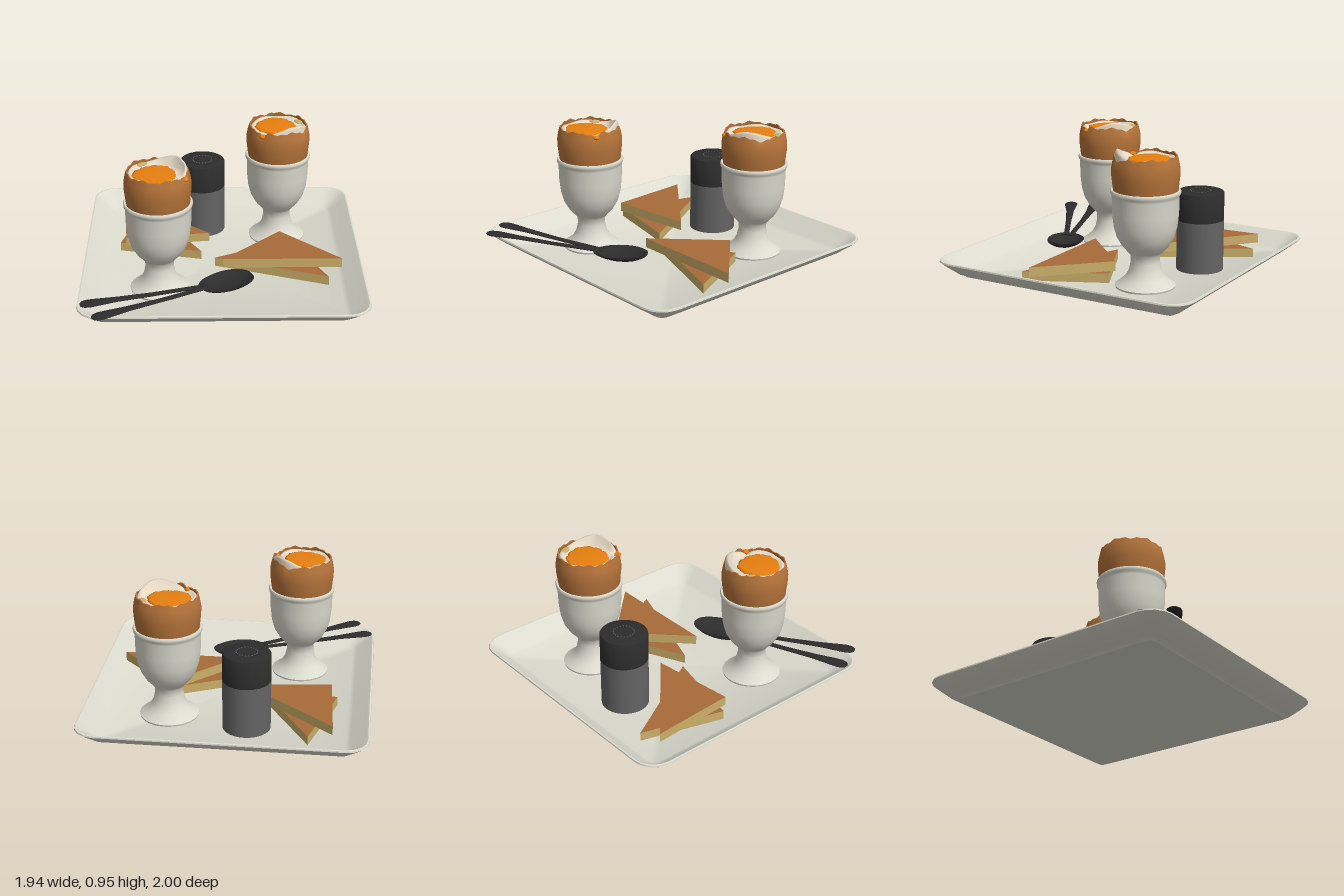
import * as THREE from 'three';
import { toCreasedNormals } from 'three/addons/utils/BufferGeometryUtils.js';

const mat = (name, color, side = THREE.FrontSide) => {
  const m = new THREE.MeshStandardMaterial({ color, side });
  m.name = name;
  return m;
};
const M = {
  china: mat('china', 0xdcdbcf),
  shell: mat('eggshell brown', 0xb4733a, THREE.DoubleSide),
  white: mat('egg white', 0xe6dac6, THREE.DoubleSide),
  yolk: mat('yolk orange', 0xe88010),
  toast: mat('toast brown', 0xa86c38),
  crumb: mat('crumb tan', 0xccb06a),
  grey: mat('shaker grey', 0x646464),
  black: mat('black', 0x2c2c2c),
};

function mesh(name, geometry, material, parent) {
  const m = new THREE.Mesh(geometry, material);
  m.name = name;
  parent.add(m);
  return m;
}

// Skin over closed rings with equal point counts
function loft(rings) {
  const n = rings[0].length, pos = [], idx = [];
  rings.forEach(r => r.forEach(p => pos.push(p[0], p[1], p[2])));
  for (let i = 0; i < rings.length - 1; i++) {
    for (let j = 0; j < n; j++) {
      const a = i * n + j, b = i * n + (j + 1) % n;
      idx.push(a, a + n, b, b, a + n, b + n);
    }
  }
  const g = new THREE.BufferGeometry();
  g.setAttribute('position', new THREE.Float32BufferAttribute(pos, 3));
  g.setIndex(idx);
  g.computeVertexNormals();
  return g;
}

// Ring around y; r and y are functions of the angle
function ring(r, y, n = 72) {
  return Array.from({ length: n }, (_, i) => {
    const a = i / n * Math.PI * 2;
    return [Math.cos(a) * r(a), y(a), Math.sin(a) * r(a)];
  });
}

function roundedSquare(half, radius, y) {
  const pts = [];
  for (let c = 0; c < 4; c++) {
    const mid = (c + 0.5) * Math.PI / 2, d = (half - radius) * Math.SQRT2;
    for (let k = 0; k <= 4; k++) {
      const a = c * Math.PI / 2 + k * Math.PI / 8;
      pts.push([d * Math.cos(mid) + radius * Math.cos(a), y, d * Math.sin(mid) + radius * Math.sin(a)]);
    }
  }
  return pts;
}

function buildTray(root) {
  const sections = [ // half width, corner radius, height
    [0, 0, 0], [0.81, 0.03, 0], [0.82, 0.035, 0.012], [0.85, 0.06, 0.022], [0.95, 0.14, 0.1],
    [0.97, 0.155, 0.118], [0.968, 0.155, 0.128], [0.958, 0.15, 0.13], [0.945, 0.14, 0.122],
    [0.845, 0.07, 0.036], [0.815, 0.05, 0.02], [0, 0, 0.02],
  ];
  const g = loft(sections.map(s => roundedSquare(...s)));
  mesh('tray', toCreasedNormals(g, 0.6), M.china, root).position.z = -0.03;
}

// Small rise centred on an angle
const bump = (a, centre, width) => {
  const d = Math.atan2(Math.sin(a - centre), Math.cos(a - centre));
  return Math.exp(-(d * d) / (width * width));
};
const HUMP = 0.98, NOTCH = 2.18, CRUMB = -0.5;

function buildEgg(x, z, turn, root) {
  const g = new THREE.Group();
  g.name = 'eggInCup';
  g.position.set(x, 0, z);
  g.rotation.y = turn;
  root.add(g);

  // Footed cup
  const outline = [
    [0, 0.02], [0.2, 0.02], [0.203, 0.032], [0.185, 0.045], [0.14, 0.08], [0.11, 0.13], [0.097, 0.19],
    [0.098, 0.235], [0.12, 0.262], [0.155, 0.3], [0.19, 0.36], [0.21, 0.43], [0.22, 0.52], [0.222, 0.63],
    [0.224, 0.645], [0.232, 0.655], [0.233, 0.672], [0.228, 0.68], [0.218, 0.68], [0.205, 0.62],
  ].map(p => new THREE.Vector2(...p));
  mesh('eggCup', toCreasedNormals(new THREE.LatheGeometry(outline, 48), 0.7), M.china, g);

  // Cracked shell with a jagged edge
  const rim = a => 0.905 + 0.006 * Math.sin(7 * a) + 0.005 * Math.sin(17 * a + 1)
    - 0.035 * bump(a, NOTCH, 0.1) - 0.02 * bump(a, HUMP - 0.5, 0.3);
  const k = v => () => v;
  mesh('shell', toCreasedNormals(loft([
    ring(k(0.203), k(0.62)), ring(k(0.217), k(0.7)), ring(k(0.225), k(0.77)), ring(k(0.226), k(0.82)),
    ring(k(0.218), k(0.865)), ring(k(0.207), rim), ring(k(0.198), rim), ring(k(0.204), k(0.84)),
  ]), 0.8), M.shell, g);

  // White with one raised flap
  const crest = a => 0.893 + 0.058 * bump(a, HUMP, 0.6) + 0.005 * Math.sin(5 * a)
    - 0.02 * bump(a, NOTCH, 0.14);
  const inner = a => 0.158 + 0.007 * Math.sin(4 * a + 2);
  mesh('eggWhite', loft([
    ring(k(0.204), k(0.84)), ring(k(0.2), a => crest(a) - 0.015), ring(k(0.188), crest),
    ring(a => 0.177 + 0.004 * Math.sin(9 * a), a => crest(a) - 0.004),
    ring(inner, k(0.88)), ring(k(0.13), k(0.874)), ring(k(0), k(0.872)),
  ]), M.white, g);

  // Runny yolk with an uneven edge
  const edge = s => a => s * (0.143 + 0.006 * Math.sin(3 * a) + 0.004 * Math.sin(11 * a) + 0.003 * Math.sin(19 * a));
  const yolk = mesh('yolk', loft([
    ring(edge(1), k(0.868)), ring(edge(1), k(0.884)), ring(edge(0.9), k(0.888)),
    ring(edge(0.5), k(0.892)), ring(k(0), k(0.893)),
  ]), M.yolk, g);
  yolk.position.set(-0.018, 0, -0.022);

  const drip = mesh('yolkDrip', new THREE.SphereGeometry(0.024, 16, 10), M.yolk, g);
  drip.position.set(Math.cos(NOTCH) * 0.203, 0.876, Math.sin(NOTCH) * 0.203);
  drip.scale.y = 0.7;
  const crumb = mesh('crumbPatch', new THREE.SphereGeometry(0.04, 16, 10), M.crumb, g);
  crumb.position.set(Math.cos(CRUMB) * 0.17, 0.889, Math.sin(CRUMB) * 0.17);
  crumb.scale.set(0.65, 0.2, 1);
  crumb.rotation.y = -CRUMB;
}

function buildToast(name, corners, y, thick, root) {
  const shape = new THREE.Shape(corners.map(([x, z]) => new THREE.Vector2(x, -z)));
  const g = new THREE.ExtrudeGeometry(shape, { depth: thick, bevelEnabled: false });
  g.rotateX(-Math.PI / 2);
  mesh(name, g, [M.toast, M.crumb], root).position.y = y;
}

function buildShaker(root) {
  const g = new THREE.Group();
  g.name = 'shaker';
  g.position.set(-0.14, 0, -0.545);
  root.add(g);
  const body = new THREE.CylinderGeometry(0.163, 0.163, 0.355, 48);
  mesh('shakerBody', body, M.grey, g).position.y = 0.1975;
  const lid = [[0, 0.375], [0.163, 0.375], [0.163, 0.562], [0.158, 0.57], [0.148, 0.574], [0, 0.576]]
    .map(p => new THREE.Vector2(...p));
  mesh('shakerLid', toCreasedNormals(new THREE.LatheGeometry(lid, 48), 0.6), M.black, g);
  for (let i = 0; i < 20; i++) { // ring of pour holes
    const a = i / 20 * Math.PI * 2;
    const hole = mesh('pourHole', new THREE.CylinderGeometry(0.0045, 0.0045, 0.004, 8), M.grey, g);
    hole.position.set(Math.cos(a) * 0.07, 0.5755, Math.sin(a) * 0.07);
  }
}

function buildSpoon(x, z, turn, length, lift, root) {
  const g = new THREE.Group();
  g.name = 'spoon';
  g.position.set(x, lift, z);
  g.rotation.y = turn;
  root.add(g);
  const stations = [ // along, half width, half thickness, height
    [-0.05, 0, 0, 0.138], [-0.045, 0.022, 0.006, 0.138], [-0.025, 0.042, 0.009, 0.138],
    [0.01, 0.05, 0.01, 0.138], [0.06, 0.046, 0.01, 0.137], [0.2, 0.03, 0.01, 0.132],
    [0.45, 0.021, 0.01, 0.12], [length - 0.2, 0.019, 0.01, 0.112], [length - 0.15, 0.035, 0.007, 0.112],
    [length - 0.14, 0, 0, 0.112],
  ];
  mesh('spoonHandle', loft(stations.map(([sx, w, t, y]) => Array.from({ length: 16 }, (_, i) => {
    const a = i / 16 * Math.PI * 2;
    return [sx, y + t * Math.sin(a), w * Math.cos(a)];
  }))), M.black, g);
  const bowl = [[0, -0.05], [0.4, -0.045], [0.75, -0.027], [0.95, -0.008], [1, 0], [0.97, 0.003],
    [0.9, -0.006], [0.7, -0.022], [0.4, -0.036], [0, -0.04]].map(p => new THREE.Vector2(...p));
  const geo = new THREE.LatheGeometry(bowl, 40);
  geo.scale(0.195, 1, 0.128);
  geo.computeVertexNormals();
  const b = mesh('spoonBowl', geo, M.black, g);
  b.position.set(length, 0.12, 0);
  b.rotation.z = 0.05;
}

export function createModel() {
  const root = new THREE.Group();
  root.name = 'breakfastTray';
  buildTray(root);
  buildEgg(0.405, -0.42, 0, root);
  buildEgg(-0.435, 0.36, 1.745, root);
  buildShaker(root);
  // Two stacked pairs of toast triangles
  buildToast('toastBackLower', [[-0.565, -0.755], [-0.735, -0.175], [-0.15, -0.035]], 0.02, 0.063, root);
  buildToast('toastBackUpper', [[-0.725, -0.72], [-0.69, -0.12], [-0.09, -0.19]], 0.086, 0.064, root);
  buildToast('toastFrontLower', [[-0.055, 0.065], [0.73, 0.35], [0.48, -0.185]], 0.02, 0.065, root);
  buildToast('toastFrontUpper', [[0, 0.22], [0.83, 0.22], [0.415, -0.195]], 0.09, 0.067, root);
  // Two crossed spoons
  buildSpoon(-0.9, 0.78, 0.335, 0.974, 0, root);
  buildSpoon(-0.81, 0.95, 0.53, 0.96, 0.006, root);
  return root;
}
